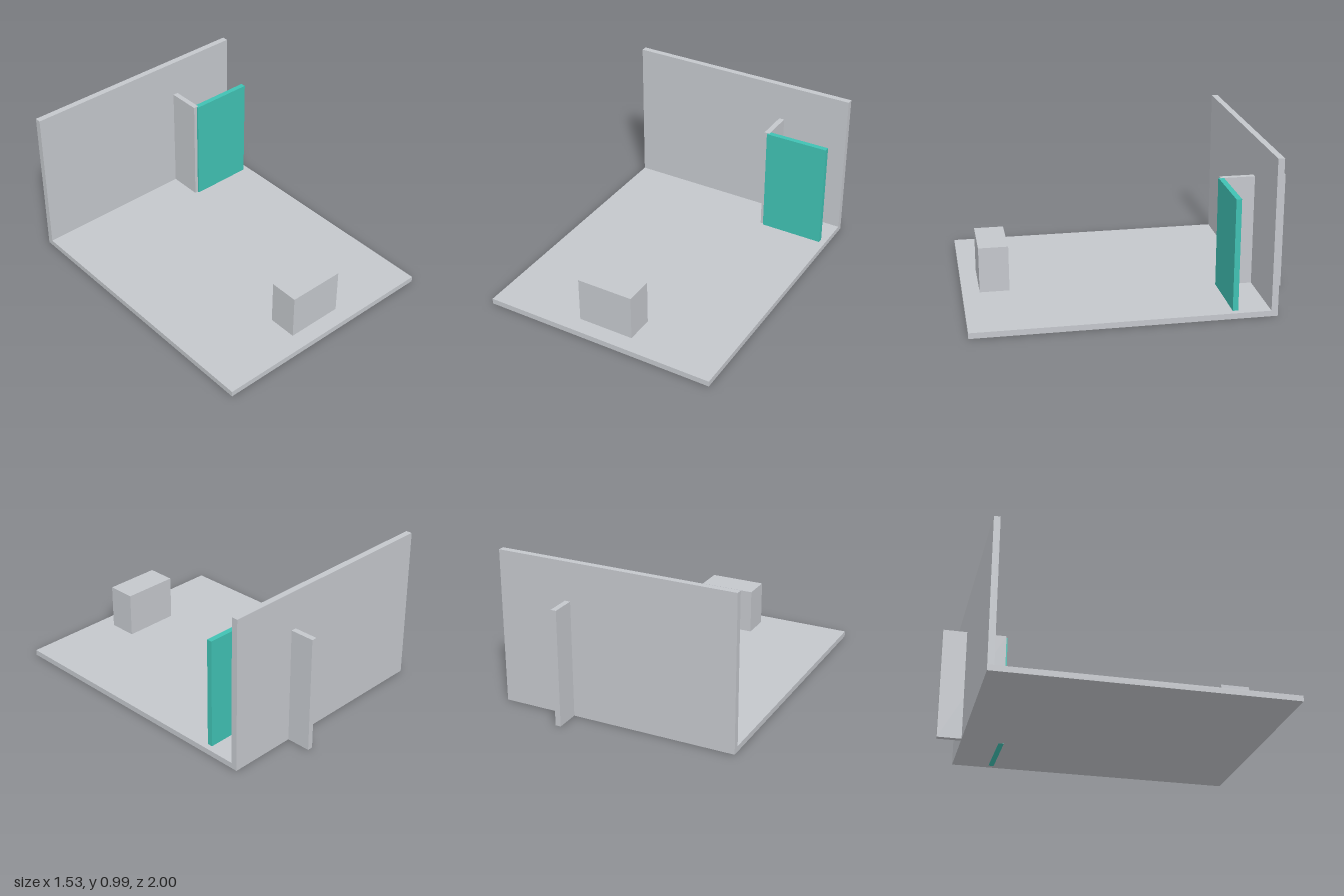
import * as THREE from 'three';

export function createModel() {
  const model = new THREE.Group();
  const grey = new THREE.MeshStandardMaterial({ color: 0xc4c7cc });
  grey.name = 'light grey';
  const teal = new THREE.MeshStandardMaterial({ color: 0x40c1b3 });
  teal.name = 'teal';

  // Box given by its extents along each axis
  function slab(name, material, [x0, x1], [y0, y1], [z0, z1]) {
    const mesh = new THREE.Mesh(new THREE.BoxGeometry(x1 - x0, y1 - y0, z1 - z0), material);
    mesh.position.set((x0 + x1) / 2, (y0 + y1) / 2, (z0 + z1) / 2);
    mesh.name = name;
    model.add(mesh);
  }

  // Room shell
  slab('floor', grey, [-0.766, 0.766], [0.001, 0.037], [-0.845, 1]);
  slab('backWall', grey, [-0.766, 0.766], [0.037, 0.985], [-0.845, -0.805]);

  // Partition passing through the back wall; a hair taller than the door it meets
  slab('partition', grey, [0.289, 0.324], [0.001, 0.741], [-1, -0.588]);

  // Door panel, set through the floor
  slab('doorPanel', teal, [0.312, 0.728], [0, 0.74], [-0.61, -0.576]);

  // Free-standing block near the front edge
  slab('block', grey, [-0.184, 0.182], [0.037, 0.328], [0.707, 0.892]);

  return model;
}
